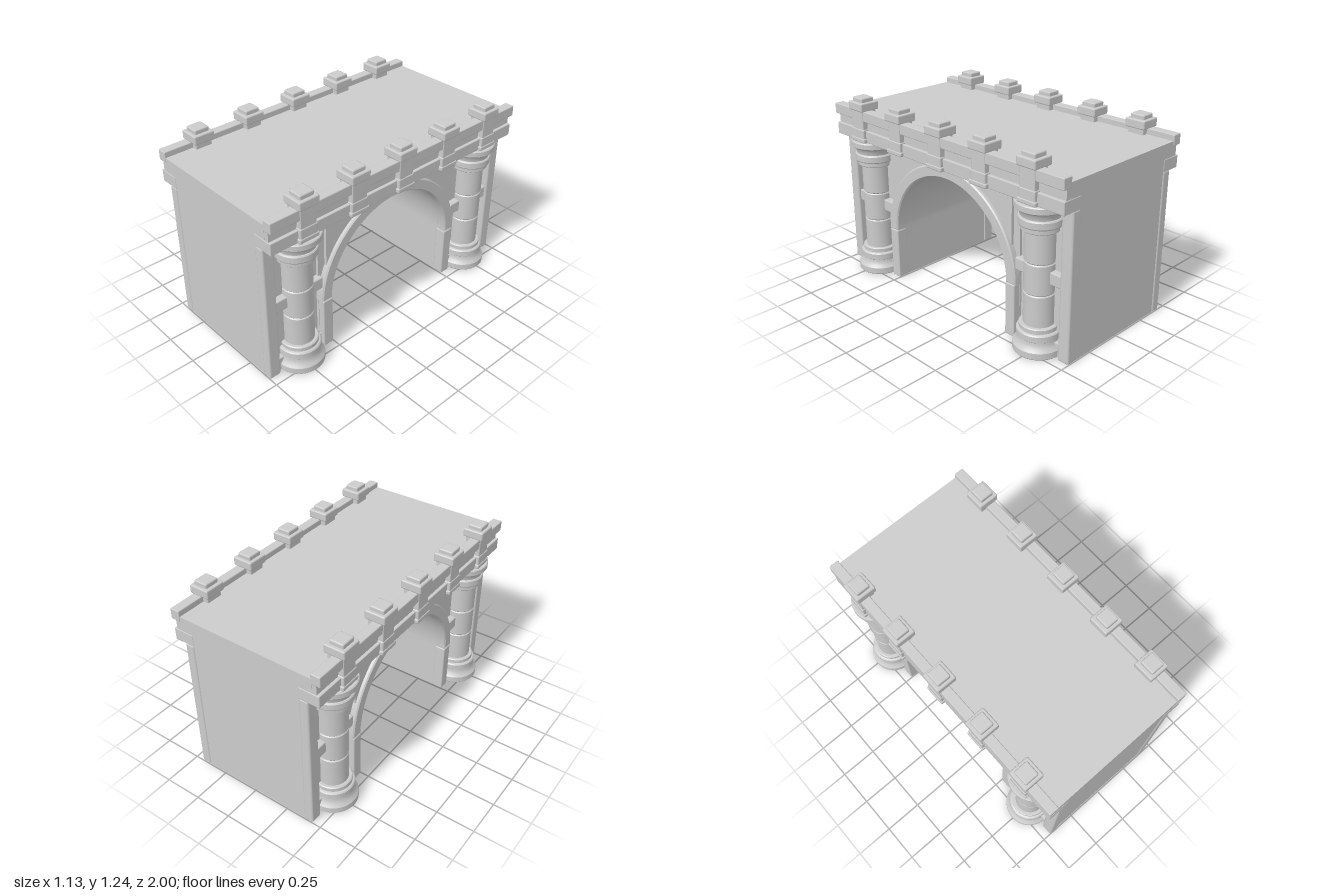
import * as THREE from 'three';
import { toCreasedNormals } from 'three/addons/utils/BufferGeometryUtils.js';
import { RoundedBoxGeometry } from 'three/addons/geometries/RoundedBoxGeometry.js';

const stone = new THREE.MeshStandardMaterial({ color: 0xcccccc });
const SPRING = 0.35; // height where the arch starts to curve

function add(parent, name, geometry) {
  const mesh = new THREE.Mesh(geometry, stone);
  mesh.name = name;
  parent.add(mesh);
  return mesh;
}

// Block given by its limits on each axis, with slightly worn edges
function block(parent, name, [x0, x1], [y0, y1], [z0, z1], bevel = 0.005) {
  const size = [x1 - x0, y1 - y0, z1 - z0];
  const geo = bevel ? new RoundedBoxGeometry(...size, 1, bevel) : new THREE.BoxGeometry(...size);
  geo.translate((x0 + x1) / 2, (y0 + y1) / 2, (z0 + z1) / 2);
  return add(parent, name, geo);
}

// Wall outline with an arched opening, drawn in the length/height plane
function archedWall(half, top, radius) {
  const s = new THREE.Shape();
  s.moveTo(-half, 0);
  s.lineTo(-half, top);
  s.lineTo(half, top);
  s.lineTo(half, 0);
  s.lineTo(radius, 0);
  s.lineTo(radius, SPRING);
  s.absarc(0, SPRING, radius, 0, Math.PI, false);
  s.lineTo(-radius, 0);
  s.closePath();
  return s;
}

// Half ring that frames the arch
function archRing(outer, inner) {
  const s = new THREE.Shape();
  s.moveTo(outer, SPRING);
  s.absarc(0, SPRING, outer, 0, Math.PI, false);
  s.lineTo(-inner, SPRING);
  s.absarc(0, SPRING, inner, Math.PI, 0, true);
  s.closePath();
  return s;
}

// Extrude a length/height shape across the bridge from x0 to x1
function across(shape, x0, x1, bevel = 0) {
  const geo = new THREE.ExtrudeGeometry(shape, {
    depth: x1 - x0 - 2 * bevel, curveSegments: 40,
    bevelEnabled: bevel > 0, bevelSize: bevel, bevelThickness: bevel, bevelOffset: -bevel, bevelSegments: 1,
  });
  geo.translate(0, 0, x0 + bevel);
  geo.rotateY(Math.PI / 2);
  return toCreasedNormals(geo, 0.4);
}

// Turned column: moulded base, three drums with grooves, moulded capital
function columnGeometry() {
  const profile = [
    [0, 0], [0.15, 0], [0.155, 0.006], [0.155, 0.045], [0.15, 0.052], [0.139, 0.065], [0.132, 0.083], [0.13, 0.1],
    [0.134, 0.104], [0.134, 0.14], [0.128, 0.147], [0.118, 0.15], [0.118, 0.175], [0.112, 0.18], [0.095, 0.18],
  ];
  for (const y of [0.38, 0.575]) profile.push([0.095, y - 0.007], [0.089, y], [0.095, y + 0.007]);
  profile.push(
    [0.095, 0.77], [0.113, 0.77], [0.118, 0.775], [0.118, 0.8], [0.128, 0.803], [0.132, 0.81], [0.132, 0.847],
    [0.127, 0.854], [0.121, 0.856], [0.124, 0.875], [0.134, 0.893], [0.15, 0.903], [0.155, 0.908], [0.155, 0.94],
    [0.15, 0.946], [0, 0.946],
  );
  const geo = new THREE.LatheGeometry(profile.map(([r, y]) => new THREE.Vector2(r, y)), 40);
  return toCreasedNormals(geo, 0.5);
}

// Parapet post with foot, shaft, cap and top stone
function addPost(parent, z) {
  const post = new THREE.Group();
  post.name = 'parapetPost';
  post.position.z = z;
  parent.add(post);
  block(post, 'postFoot', [0.43, 0.545], [0.945, 0.975], [-0.07, 0.07], 0.008);
  block(post, 'postLowerShaft', [0.43, 0.54], [0.965, 1.035], [-0.062, 0.062], 0.008);
  block(post, 'postShaft', [0.428, 0.535], [1.02, 1.165], [-0.056, 0.056], 0.006);
  block(post, 'postCap', [0.412, 0.55], [1.155, 1.212], [-0.07, 0.07], 0.009);
  block(post, 'postTop', [0.435, 0.53], [1.2, 1.24], [-0.05, 0.05], 0.009);
}

// Everything on one long face of the bridge, facing +x
function createFacade() {
  const side = new THREE.Group();
  side.name = 'facade';

  // Stepped wall panels around the arch
  add(side, 'spandrelEdge', across(archedWall(0.58, 0.95, 0.51), 0.37, 0.402));
  add(side, 'spandrel', across(archedWall(0.53, 0.95, 0.51), 0.37, 0.42));

  // Arch frame
  add(side, 'archRing', across(archRing(0.582, 0.505), 0.37, 0.445, 0.008));

  for (const s of [-1, 1]) {
    const span = (a, b) => (s > 0 ? [a, b] : [-b, -a]);
    block(side, 'archJamb', [0.37, 0.445], [0, SPRING], span(0.502, 0.577), 0.008);
    block(side, 'cornerPilaster', [0.38, 0.445], [0, 0.95], span(0.92, 1), 0.012);
    block(side, 'nicheSill', [0.37, 0.42], [0, 0.09], span(0.56, 0.93));
    block(side, 'nicheBelt', [0.37, 0.43], [0.45, 0.53], span(0.565, 0.925), 0.008);
    const column = add(side, 'column', columnGeometry());
    column.position.set(0.41, 0, s * 0.745);
  }

  // Cornice and parapet rail
  block(side, 'lowerCornice', [0.38, 0.52], [0.945, 1.025], [-0.998, 0.998]);
  block(side, 'corniceRecess', [0.38, 0.5], [1.015, 1.095], [-0.994, 0.994], 0);
  block(side, 'parapetRail', [0.465, 0.53], [1.088, 1.158], [-1, 1], 0.006);
  for (let i = -2; i <= 2; i++) addPost(side, i * 0.374);
  return side;
}

export function createModel() {
  const bridge = new THREE.Group();
  bridge.name = 'archBridge';

  // Solid core with the tunnel, and the deck over it
  add(bridge, 'core', across(archedWall(0.993, 0.96, 0.51), -0.385, 0.385));
  block(bridge, 'deck', [-0.468, 0.468], [0.95, 1.12], [-0.995, 0.995], 0);

  // The two long faces
  for (const angle of [0, Math.PI]) {
    const side = createFacade();
    side.rotation.y = angle;
    bridge.add(side);
  }
  return bridge;
}
